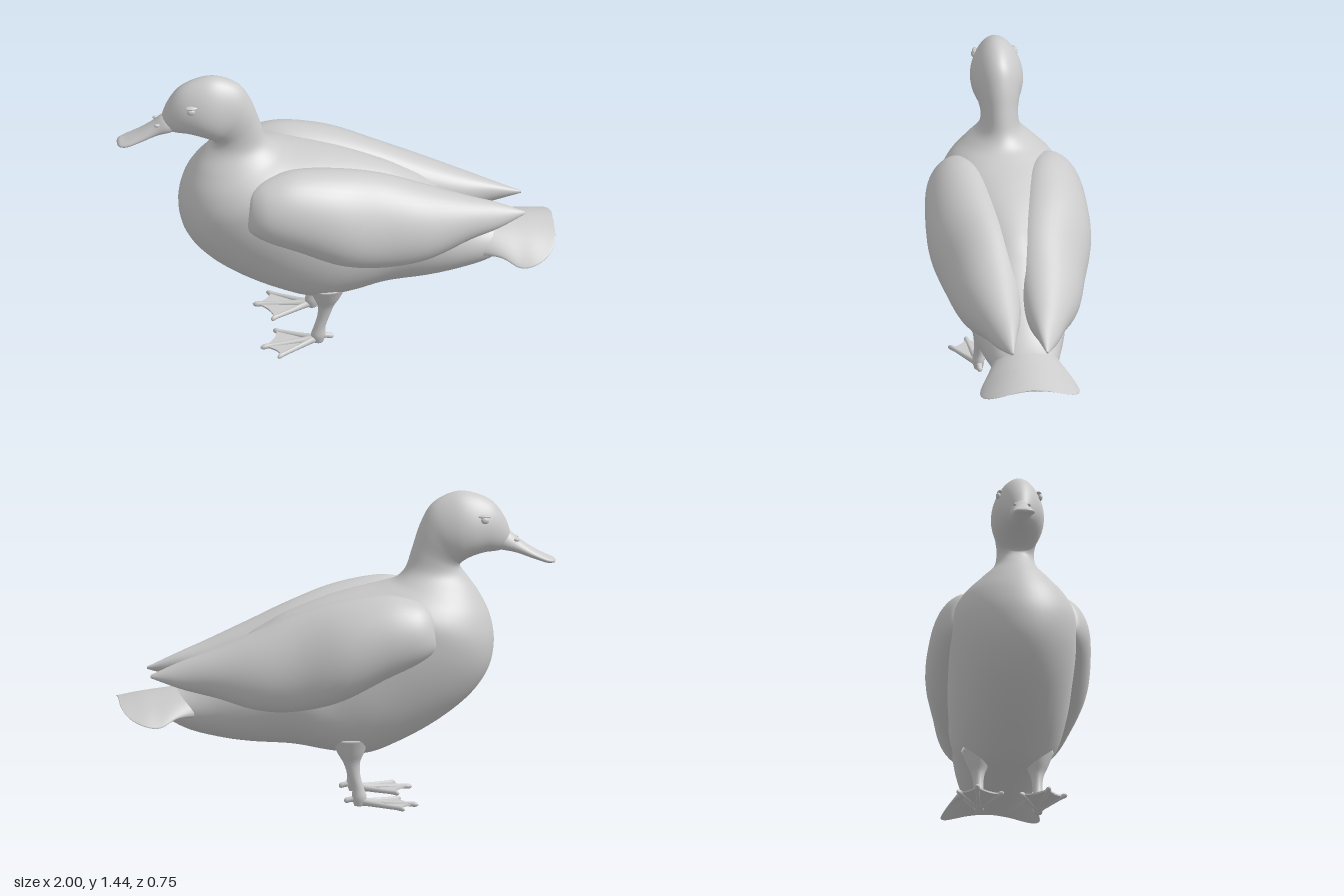
import * as THREE from 'three';

const material = new THREE.MeshStandardMaterial({ color: 0xcccccc, roughness: 0.7 });
const V = (x, y, z = 0) => new THREE.Vector3(x, y, z);

// Smooth skin through oval sections. Each section is
// [top x,y,z, bottom x,y,z, half width, egg (wider low), arch (drop at the sides)].
function loft(name, sections, { steps = 6, sides = 32, s = 1 } = {}) {
  const curve = (pick) => new THREE.CatmullRomCurve3(sections.map(pick), false, 'catmullrom', 0.5);
  const top = curve((a) => V(a[0], a[1], a[2] * s));
  const bottom = curve((a) => V(a[3], a[4], a[5] * s));
  const shape = curve((a) => V(a[6], a[7] || 0, a[8] || 0));
  const rows = (sections.length - 1) * steps;
  const pos = [], index = [];
  for (let i = 0; i <= rows; i++) {
    const t = i / rows, a = top.getPoint(t), b = bottom.getPoint(t), w = shape.getPoint(t);
    const mid = a.clone().add(b).multiplyScalar(0.5);
    const up = a.clone().sub(b).multiplyScalar(0.5);
    const side = V(0, -up.z, up.y);
    if (side.length() < 1e-5) side.set(0, 0, 1);
    side.normalize();
    for (let j = 0; j < sides; j++) {
      const q = (j / sides) * Math.PI * 2, c = Math.cos(q);
      const across = w.x * Math.sin(q) * (1 - w.y * c);
      const p = mid.clone().addScaledVector(up, c).addScaledVector(side, across);
      pos.push(p.x, p.y - w.z * across * across, p.z);
      if (i < rows) {
        const k = i * sides, n = (j + 1) % sides;
        index.push(k + j, k + n, k + sides + j, k + n, k + sides + n, k + sides + j);
      }
    }
  }
  // End caps; the rings turn counter-clockwise about the direction of travel
  const last = rows * sides;
  for (let j = 1; j < sides - 1; j++) {
    index.push(0, j + 1, j, last, last + j, last + j + 1);
  }
  const geometry = new THREE.BufferGeometry();
  geometry.setAttribute('position', new THREE.Float32BufferAttribute(pos, 3));
  geometry.setIndex(index);
  geometry.computeVertexNormals();
  return named(name, geometry);
}

function named(name, geometry) {
  const mesh = new THREE.Mesh(geometry, material);
  mesh.name = name;
  return mesh;
}

function oval(name, x, y, z, rx, ry, rz) {
  const mesh = named(name, new THREE.SphereGeometry(1, 16, 12));
  mesh.scale.set(rx, ry, rz);
  mesh.position.set(x, y, z);
  return mesh;
}

// Section lying on the centre plane
const mid = ([tx, ty, bx, by, ...rest]) => [tx, ty, 0, bx, by, 0, ...rest];

function makeBody() {
  return loft('body', [
    // head
    [-0.8, 1.24, -0.775, 1.18, 0.03],
    [-0.77, 1.325, -0.73, 1.17, 0.062, 0.1],
    [-0.715, 1.4, -0.675, 1.165, 0.092, 0.15],
    [-0.63, 1.443, -0.62, 1.15, 0.114, 0.2],
    [-0.54, 1.45, -0.58, 1.13, 0.118, 0.2],
    [-0.44, 1.4, -0.565, 1.115, 0.108, 0.15],
    // neck
    [-0.385, 1.31, -0.565, 1.103, 0.094, 0.05],
    [-0.345, 1.19, -0.575, 1.085, 0.085],
    [-0.315, 1.1, -0.605, 1.045, 0.1],
    // breast and belly
    [-0.27, 1.05, -0.655, 0.97, 0.16],
    [-0.21, 1.028, -0.7, 0.87, 0.225],
    [-0.14, 1.012, -0.718, 0.75, 0.27],
    [-0.07, 0.998, -0.69, 0.62, 0.285],
    [0.02, 0.975, -0.6, 0.495, 0.29],
    [0.1, 0.95, -0.45, 0.38, 0.285, 0.04],
    [0.18, 0.92, -0.28, 0.29, 0.275, 0.1],
    [0.25, 0.89, -0.13, 0.238, 0.26, 0.12],
    [0.32, 0.85, 0.03, 0.255, 0.25, 0.1],
    // rump
    [0.4, 0.8, 0.2, 0.288, 0.23],
    [0.5, 0.72, 0.4, 0.305, 0.205],
    [0.6, 0.64, 0.55, 0.33, 0.175],
    [0.72, 0.565, 0.7, 0.375, 0.135],
    [0.86, 0.54, 0.84, 0.46, 0.06],
  ].map(mid), { sides: 48 });
}

// Arched, thin tail fan
function makeTail() {
  return loft('tailFan', [
    [0.52, 0.58, 0.52, 0.4, 0.13, 0, 1],
    [0.64, 0.57, 0.64, 0.43, 0.145, 0, 1.6],
    [0.74, 0.56, 0.74, 0.49, 0.18, 0, 2],
    [0.82, 0.55, 0.82, 0.52, 0.222, 0, 2.2],
    [0.89, 0.54, 0.89, 0.522, 0.224, 0, 2],
    [0.95, 0.528, 0.95, 0.516, 0.195, 0, 1.8],
    [0.985, 0.52, 0.985, 0.512, 0.15, 0, 1.6],
    [1, 0.517, 1, 0.512, 0.09, 0, 1.5],
  ].map(mid));
}

function makeBill() {
  return loft('bill', [
    [-1, 1.121, -1, 1.115, 0.015],
    [-0.99, 1.132, -0.99, 1.109, 0.036],
    [-0.96, 1.145, -0.955, 1.111, 0.049],
    [-0.9, 1.178, -0.89, 1.134, 0.048, 0.1],
    [-0.84, 1.22, -0.82, 1.16, 0.045, 0.15],
    [-0.79, 1.262, -0.76, 1.173, 0.05, 0.2],
    [-0.74, 1.27, -0.71, 1.18, 0.04],
  ].map(mid));
}

function makeWing(s) {
  return loft('wing', [
    [-0.425, 0.9, 0.24, -0.435, 0.81, 0.25, 0.012],
    [-0.4, 0.955, 0.21, -0.42, 0.765, 0.27, 0.055],
    [-0.33, 0.99, 0.17, -0.34, 0.71, 0.28, 0.115],
    [-0.2, 1.008, 0.145, -0.2, 0.645, 0.28, 0.15],
    [0, 0.978, 0.12, 0, 0.545, 0.27, 0.17],
    [0.2, 0.915, 0.09, 0.2, 0.49, 0.23, 0.157],
    [0.4, 0.825, 0.07, 0.4, 0.495, 0.2, 0.138],
    [0.6, 0.738, 0.06, 0.6, 0.555, 0.155, 0.088],
    [0.73, 0.69, 0.06, 0.73, 0.588, 0.13, 0.045],
    [0.86, 0.638, 0.075, 0.86, 0.627, 0.085, 0.005],
  ], { s, sides: 40 });
}

// Toe from its tip back to the ankle
function makeToe(name, s, x, z, ankle = -0.1) {
  const at = (t, r, y) => {
    const px = x + (ankle - x) * t, pz = z + (0.135 - z) * t;
    return [px, y + r, pz, px, y - r, pz, r];
  };
  return loft(name, [
    at(0, 0.003, 0.022), at(0.06, 0.012, 0.024), at(0.2, 0.011, 0.026),
    at(0.45, 0.012, 0.028), at(0.8, 0.015, 0.032), at(1, 0.02, 0.036),
  ], { s, sides: 12, steps: 4 });
}

function makeLeg(s) {
  const leg = new THREE.Group();
  leg.name = 'leg';
  const ring = (x0, x1, y, hw) => [x1, y, 0.135, x0, y, 0.135, hw];
  leg.add(loft('shank', [
    ring(-0.14, 0.04, 0.34, 0.075), ring(-0.115, 0.01, 0.27, 0.05),
    ring(-0.095, -0.018, 0.22, 0.03), ring(-0.096, -0.04, 0.16, 0.023),
    ring(-0.112, -0.058, 0.1, 0.023), ring(-0.125, -0.058, 0.055, 0.027),
    ring(-0.115, -0.068, 0.018, 0.02),
  ], { s, sides: 20 }));
  leg.add(makeToe('middleToe', s, -0.36, 0.165));
  leg.add(makeToe('outerToe', s, -0.29, 0.248));
  leg.add(makeToe('innerToe', s, -0.29, 0.042));
  // Hind toe
  leg.add(loft('hindToe', [
    [-0.09, 0.07, 0.135, -0.09, 0.035, 0.135, 0.016],
    [-0.05, 0.06, 0.135, -0.055, 0.035, 0.135, 0.013],
    [-0.028, 0.055, 0.135, -0.032, 0.03, 0.135, 0.012],
    [-0.022, 0.045, 0.135, -0.022, 0.037, 0.135, 0.004],
  ], { s, sides: 12, steps: 3 }));
  // Webbing with scalloped front edge
  const web = new THREE.Shape();
  web.moveTo(-0.1, 0.135 * s);
  web.lineTo(-0.275, 0.238 * s);
  web.quadraticCurveTo(-0.27, 0.2 * s, -0.34, 0.163 * s);
  web.quadraticCurveTo(-0.27, 0.105 * s, -0.275, 0.05 * s);
  web.closePath();
  const webGeometry = new THREE.ExtrudeGeometry(web, { depth: 0.008, bevelEnabled: false, curveSegments: 10 });
  webGeometry.rotateX(Math.PI / 2).translate(0, 0.029, 0);
  leg.add(named('webbing', webGeometry));
  return leg;
}

export function createModel() {
  const duck = new THREE.Group();
  duck.name = 'duck';
  duck.add(makeBody(), makeTail(), makeBill());
  for (const s of [1, -1]) {
    duck.add(makeWing(s), makeLeg(s));
    // Eye with brow, nostril
    duck.add(oval('eye', -0.67, 1.335, 0.095 * s, 0.019, 0.016, 0.012));
    duck.add(oval('brow', -0.668, 1.352, 0.088 * s, 0.03, 0.008, 0.014));
    duck.add(oval('nostril', -0.82, 1.225, 0.033 * s, 0.014, 0.008, 0.008));
  }
  return duck;
}
